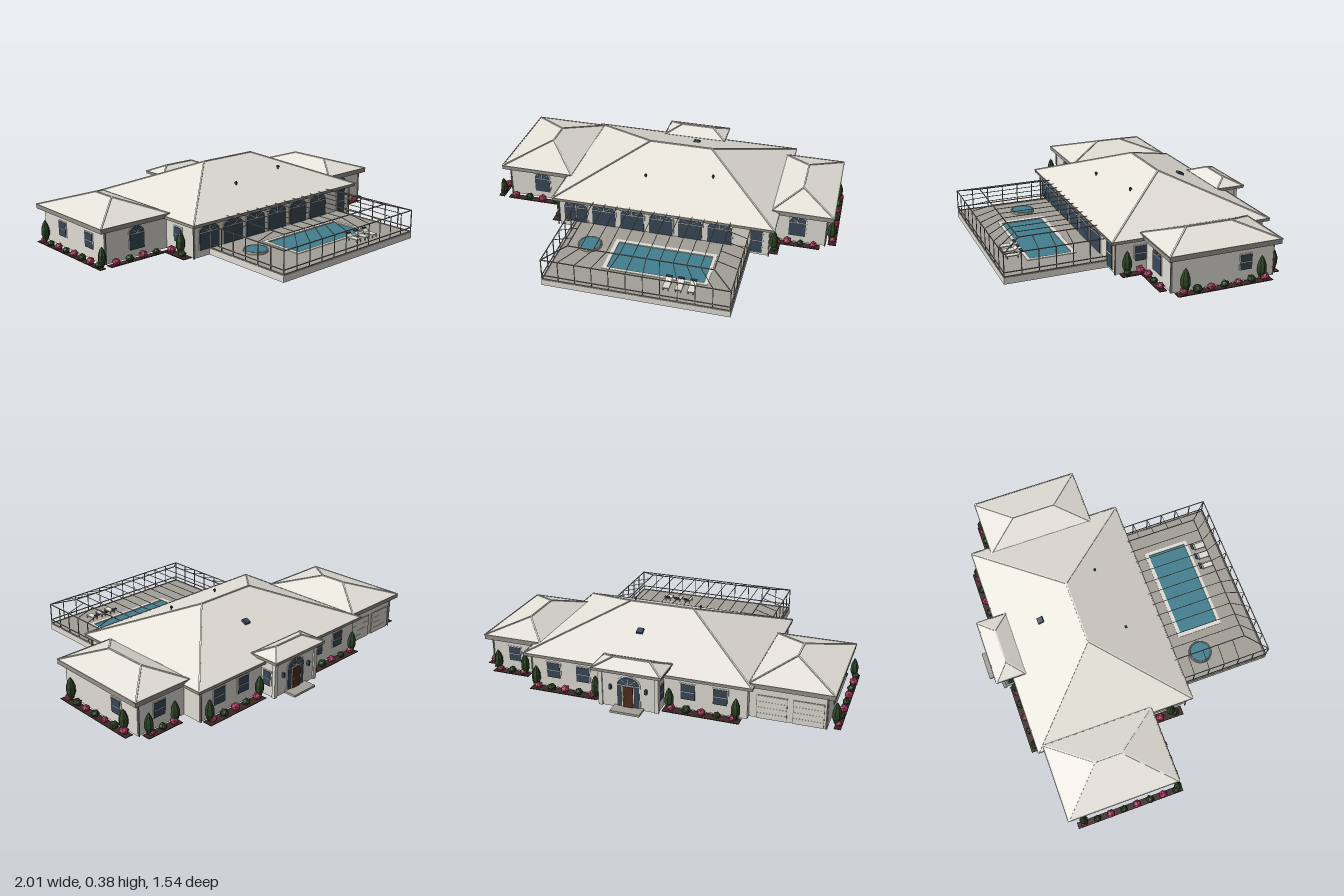
import * as THREE from 'three';

const mat = (name, color, side = THREE.FrontSide) => {
  const m = new THREE.MeshStandardMaterial({ color, side });
  m.name = name;
  return m;
};

export function createModel() {
  const M = {
    wall: mat('cream stucco', 0xdfddd4, THREE.DoubleSide),
    roof: mat('pale roof', 0xe5e3da),
    trim: mat('grey trim', 0x96938c),
    glass: mat('blue glass', 0x384857),
    leaf: mat('dark leaves', 0x2d4526),
    flower: mat('pink blossom', 0xb03c60),
    mulch: mat('brown mulch', 0x3c2825),
    deck: mat('grey paving', 0xa3a098),
    water: mat('pool water', 0x437f90),
    wood: mat('door wood', 0x4f2d1e),
  };
  const model = new THREE.Group();
  const add = (name, geo, m, parent = model) => {
    const mesh = new THREE.Mesh(geo, m);
    mesh.name = name;
    parent.add(mesh);
    return mesh;
  };
  const group = (name, parent = model) => {
    const g = new THREE.Group();
    g.name = name;
    parent.add(g);
    return g;
  };
  // Box given by its limits on each axis
  const box = (name, m, x0, x1, y0, y1, z0, z1, parent) => {
    const g = new THREE.BoxGeometry(x1 - x0, y1 - y0, z1 - z0);
    g.translate((x0 + x1) / 2, (y0 + y1) / 2, (z0 + z1) / 2);
    return add(name, g, m, parent);
  };
  // Square bar between two points
  const up = new THREE.Vector3(0, 1, 0);
  const bar = (name, m, a, b, t, parent) => {
    const A = new THREE.Vector3(...a), B = new THREE.Vector3(...b);
    const mesh = add(name, new THREE.BoxGeometry(t, t, A.distanceTo(B)), m, parent);
    mesh.quaternion.setFromRotationMatrix(new THREE.Matrix4().lookAt(B, A, up));
    mesh.position.copy(A).add(B).multiplyScalar(0.5);
    return mesh;
  };
  const faceted = (geo) => {
    const g = geo.index ? geo.toNonIndexed() : geo;
    g.computeVertexNormals();
    return g;
  };

  // Walls: a box without floor or lid
  const walls = (name, x0, x1, h, z0, z1) => {
    const g = box(name, M.wall, x0, x1, 0, h, z0, z1).geometry;
    const i = Array.from(g.index.array);
    g.clearGroups();
    g.setIndex([...i.slice(0, 12), ...i.slice(24)]);
  };
  walls('mainWalls', -0.54, 0.65, 0.176, -0.615, 0.22);
  walls('rightWingWalls', -0.935, -0.54, 0.18, -0.58, -0.015);
  walls('leftWingWalls', 0.65, 0.945, 0.18, -0.505, 0.05);
  walls('entryWalls', -0.1, 0.215, 0.206, -0.705, -0.615);

  // Hip roof: eave slab, four slopes and caps; p and q are the ridge ends [x, z]
  const hipRoof = (name, x0, x1, z0, z1, eave, peak, p, q, depth = 0.014) => {
    const g = group(name);
    const slab = [M.trim, M.trim, M.roof, M.roof, M.trim, M.trim];
    box('eave', slab, x0, x1, eave - depth, eave, z0, z1, g);
    const a = [x0, eave, z0], b = [x1, eave, z0], c = [x1, eave, z1], d = [x0, eave, z1];
    const P = [p[0], peak, p[1]], Q = [q[0], peak, q[1]];
    const alongX = p[1] === q[1];
    const tris = alongX
      ? [d, c, Q, d, Q, P, b, a, P, b, P, Q, a, d, P, c, b, Q]
      : [a, d, Q, a, Q, P, c, b, P, c, P, Q, b, a, P, d, c, Q];
    const geo = new THREE.BufferGeometry();
    geo.setAttribute('position', new THREE.Float32BufferAttribute(tris.flat(), 3));
    geo.computeVertexNormals();
    add('slopes', geo, M.roof, g);
    const hips = alongX ? [[a, P], [d, P], [b, Q], [c, Q]] : [[a, P], [b, P], [c, Q], [d, Q]];
    [...hips, [P, Q]].forEach(([s, e]) => bar('ridgeCap', M.roof, s, e, 0.008, g));
    [[a, b], [b, c], [c, d], [d, a]].forEach(([s, e]) => bar('gutter', M.trim, s, e, 0.006, g));
  };
  hipRoof('mainRoof', -0.57, 0.68, -0.645, 0.25, 0.187, 0.373, [-0.12, -0.2], [0.24, -0.2]);
  hipRoof('rightWingRoof', -0.97, -0.54, -0.61, 0.015, 0.199, 0.274, [-0.735, -0.38], [-0.735, -0.23], 0.022);
  hipRoof('leftWingRoof', 0.635, 0.975, -0.535, 0.08, 0.202, 0.262, [0.785, -0.35], [0.785, -0.1], 0.025);
  hipRoof('entryRoof', -0.13, 0.245, -0.74, -0.57, 0.218, 0.256, [-0.04, -0.655], [0.155, -0.655]);

  // Roof vents
  const hatch = box('roofHatch', M.glass, -0.017, 0.017, -0.006, 0.008, -0.017, 0.017);
  hatch.position.set(0.11, 0.294, -0.4);
  hatch.rotation.x = -0.39;
  [[-0.085, 0.035, 0.27], [0.29, -0.015, 0.292]].forEach(([x, z, y]) => {
    box('ventPipe', M.glass, x - 0.003, x + 0.003, y, y + 0.026, z - 0.003, z + 0.003);
    box('ventCap', M.glass, x - 0.006, x + 0.006, y + 0.014, y + 0.022, z - 0.006, z + 0.006);
  });

  // Window or glazed door; rise > 0 gives an arched top
  const opening = (w, h, rise) => {
    const s = new THREE.Shape();
    s.moveTo(-w / 2, 0);
    s.lineTo(w / 2, 0);
    s.lineTo(w / 2, h - rise);
    if (rise) s.absellipse(0, h - rise, w / 2, rise, 0, Math.PI, false);
    else s.lineTo(-w / 2, h);
    s.lineTo(-w / 2, rise ? h - rise : 0);
    return s;
  };
  const plate = (shape, depth) =>
    new THREE.ExtrudeGeometry(shape, { depth, bevelEnabled: false, curveSegments: 14 });
  const windowAt = (name, x, y, z, turn, w, h, rise = 0) => {
    const g = group(name);
    g.position.set(x, y, z);
    g.rotation.y = turn;
    add('frame', plate(opening(w + 0.012, h + 0.006, rise), 0.003), M.wall, g).position.z = 0.001;
    add('pane', plate(opening(w, h, rise), 0.003), M.glass, g).position.z = 0.003;
    const top = rise ? h - rise : h / 2;
    box('transom', M.wall, -w / 2, w / 2, top - 0.0015, top + 0.0015, 0.003, 0.008, g);
    // Fan of bars in the arch
    if (rise) [0.25, 0.5, 0.75].forEach((t) => bar('fanBar', M.wall, [0, top, 0.006],
      [Math.cos(t * Math.PI) * w / 2, top + Math.sin(t * Math.PI) * rise, 0.006], 0.002, g));
  };
  for (let i = 0; i < 6; i++)
    windowAt('patioDoor', -0.443 + i * 0.165, 0.037, 0.22, 0, 0.134, 0.134, 0.04);
  windowAt('sidePatioDoor', 0.582, 0.015, 0.22, 0, 0.066, 0.155);
  windowAt('rightWingWindow', -0.735, 0.042, -0.015, 0, 0.092, 0.126, 0.04);
  windowAt('leftWingWindow', 0.782, 0.042, 0.05, 0, 0.092, 0.126, 0.04);
  const R = Math.PI / 2;
  windowAt('sideWindow', 0.65, 0.059, 0.085, R, 0.062, 0.08);
  windowAt('sideWindow', -0.54, 0.059, 0.085, -R, 0.062, 0.08);
  windowAt('sideWindow', 0.945, 0.059, -0.352, R, 0.065, 0.08);
  [-0.402, -0.15].forEach((z) => windowAt('sideWindow', -0.935, 0.059, z, -R, 0.065, 0.08));
  [0.52, 0.35, -0.23, -0.4].forEach((x) => windowAt('backWindow', x, 0.057, -0.615, 2 * R, 0.075, 0.085));
  windowAt('backWindow', 0.81, 0.059, -0.505, 2 * R, 0.07, 0.08);
  windowAt('entrySideWindow', 0.215, 0.059, -0.655, R, 0.05, 0.08);
  windowAt('entrySideWindow', -0.1, 0.059, -0.655, -R, 0.05, 0.08);

  // Entry: arched glazing, wooden door, lamps and step
  windowAt('entryGlazing', 0.057, 0.012, -0.705, 2 * R, 0.12, 0.165, 0.045);
  box('doorFrame', M.wall, 0.024, 0.09, 0.012, 0.132, -0.714, -0.708);
  box('entryDoor', M.wood, 0.029, 0.085, 0.012, 0.128, -0.717, -0.709);
  box('doorHandle', M.trim, 0.076, 0.08, 0.06, 0.075, -0.72, -0.716);
  [-0.04, 0.154].forEach((x) => box('wallLamp', M.glass, x - 0.006, x + 0.006, 0.1, 0.125, -0.719, -0.704));
  [-0.095, 0.21].forEach((x) => box('pilaster', M.wall, x - 0.011, x + 0.011, 0, 0.204, -0.713, -0.695));
  box('entryStep', M.deck, -0.025, 0.135, 0, 0.012, -0.775, -0.705);

  // Garage doors with fine panel grooves
  [-0.84, -0.655].forEach((x) => {
    box('garageDoorFrame', M.trim, x - 0.078, x + 0.078, 0, 0.13, -0.584, -0.5805);
    for (let i = 0; i < 4; i++)
      box('garagePanel', M.wall, x - 0.076, x + 0.076, 0.001 + i * 0.032, 0.0322 + i * 0.032, -0.586, -0.583);
  });

  // Downspouts at the corners
  [[-0.93, -0.01], [-0.55, 0.224], [0.655, 0.224], [0.94, 0.055], [0.94, -0.51], [-0.93, -0.585], [0.645, -0.62]]
    .forEach(([x, z]) => box('downspout', M.trim, x - 0.003, x + 0.003, 0, 0.175, z - 0.003, z + 0.003));

  // Pool deck with an opening for the pool; its edge is pale
  const rect = (T, x0, x1, z0, z1) => {
    const s = new T();
    s.moveTo(x0, -z1); s.lineTo(x1, -z1); s.lineTo(x1, -z0); s.lineTo(x0, -z0); s.closePath();
    return s;
  };
  const flat = (name, shape, hole, y, depth, m) => {
    shape.holes.push(hole);
    const mesh = add(name, plate(shape, depth), m);
    mesh.rotation.x = -Math.PI / 2;
    mesh.position.y = y;
  };
  flat('poolDeck', rect(THREE.Shape, -0.443, 0.552, 0.221, 0.768), rect(THREE.Path, -0.15, 0.378, 0.353, 0.584), 0, 0.036, [M.deck, M.wall]);
  flat('poolCoping', rect(THREE.Shape, -0.17, 0.396, 0.333, 0.6), rect(THREE.Path, -0.148, 0.376, 0.355, 0.582), 0.034, 0.005, M.wall);
  box('poolWater', M.water, -0.15, 0.378, 0.001, 0.032, 0.353, 0.584);
  const round = (name, geo, m, y) => add(name, geo, m).position.set(-0.295, y, 0.418);
  round('spaRim', new THREE.CylinderGeometry(0.066, 0.066, 0.02, 28), M.deck, 0.037);
  round('spaEdge', new THREE.TorusGeometry(0.061, 0.004, 6, 28).rotateX(R), M.deck, 0.047);
  round('spaWater', new THREE.CylinderGeometry(0.057, 0.057, 0.004, 28), M.water, 0.047);

  // Sun loungers
  [0.2, 0.265, 0.33].forEach((x) => {
    const g = group('lounger');
    g.position.set(x, 0.036, 0.655);
    box('seat', M.wall, -0.018, 0.018, 0.014, 0.019, -0.025, 0.038, g);
    bar('backrest', M.wall, [0, 0.017, -0.022], [0, 0.034, -0.044], 0.005, g).scale.x = 7;
    box('headCushion', M.glass, -0.017, 0.017, 0.032, 0.038, -0.048, -0.036, g);
    [-0.014, 0.014].forEach((lx) => [-0.022, 0.034].forEach((lz) =>
      box('leg', M.trim, lx - 0.002, lx + 0.002, 0, 0.015, lz - 0.002, lz + 0.002, g)));
  });

  // Screen enclosure: posts, rails and a sloped roof edge
  const cage = group('poolEnclosure');
  const [cx0, cx1, cz0, cz1, low, high, inset] = [-0.44, 0.549, 0.225, 0.765, 0.16, 0.192, 0.108];
  const cb = (a, b, t = 0.0045) => bar('frameBar', M.trim, a, b, t, cage);
  [0.04, 0.062, low].forEach((y) => {
    cb([cx0, y, cz1], [cx1, y, cz1]);
    [cx0, cx1].forEach((x) => cb([x, y, cz0], [x, y, cz1]));
  });
  const [ix0, ix1, iz1] = [cx0 + inset, cx1 - inset, cz1 - inset];
  cb([ix0, high, iz1], [ix1, high, iz1]);
  [[cx0, ix0], [cx1, ix1]].forEach(([o, i]) => {
    cb([i, high, cz0], [i, high, iz1]);
    cb([o, low, cz1], [i, high, iz1]);
    for (let k = 0; k <= 6; k++) {
      const z = cz0 + ((cz1 - cz0) * k) / 6;
      cb([o, 0.036, z], [o, low, z]);
      if (z < iz1) cb([o, low, z], [i, high, z], 0.003);
    }
  });
  for (let k = 1; k < 11; k++) {
    const x = cx0 + ((cx1 - cx0) * k) / 11;
    cb([x, 0.036, cz1], [x, low, cz1], 0.0035);
    const t = ix0 + ((ix1 - ix0) * k) / 11;
    cb([x, low, cz1], [t, high, iz1], 0.003);
    cb([t, high, cz0], [t, high, iz1], 0.003);
  }

  // Planting beds with alternating shrubs
  let seed = 7;
  const rnd = () => (seed = (seed * 16807) % 2147483647) / 2147483647;
  const shrub = faceted(new THREE.IcosahedronGeometry(1, 0));
  [[-1, -0.965, -0.57, 0.04], [-0.935, -0.6, 0.005, 0.045], [-0.598, -0.545, 0.02, 0.2],
    [0.655, 0.7, 0.06, 0.2], [0.7, 0.915, 0.06, 0.1], [0.955, 1, -0.48, 0.04],
    [0.71, 0.925, -0.562, -0.515], [-0.515, -0.11, -0.68, -0.625], [0.245, 0.635, -0.68, -0.625]]
    .forEach(([x0, x1, z0, z1]) => {
      const bed = group('plantingBed');
      box('mulch', M.mulch, x0, x1, 0, 0.004, z0, z1, bed);
      const long = x1 - x0 > z1 - z0, n = Math.round(Math.max(x1 - x0, z1 - z0) / 0.08);
      for (let i = 0; i < n; i++) {
        const t = (i + 0.5) / n, r = 0.019 + rnd() * 0.007;
        const s = add('shrub', shrub, i % 2 ? M.leaf : M.flower, bed);
        s.scale.set(r, r * 0.9, r);
        s.rotation.y = rnd() * 6;
        s.position.set(long ? x0 + (x1 - x0) * t : (x0 + x1) / 2, r * 0.75, long ? (z0 + z1) / 2 : z0 + (z1 - z0) * t);
      }
    });

  // Columnar evergreens
  const tree = faceted(new THREE.LatheGeometry(
    [[0.005, 0], [0.013, 0.012], [0.025, 0.045], [0.024, 0.08], [0.013, 0.112], [0, 0.132]]
      .map(([x, y]) => new THREE.Vector2(x, y)), 7));
  [[-0.97, 0.015, 0.85], [-0.97, -0.53, 0.95], [-0.562, 0.13, 1], [0.672, 0.165, 0.96], [0.968, -0.01, 1], [0.968, -0.43, 0.96],
    [0.9, -0.535, 0.93], [0.735, -0.535, 0.93], [0.61, -0.645, 0.95], [0.265, -0.65, 0.95], [-0.14, -0.65, 0.95], [-0.49, -0.65, 0.95]]
    .forEach(([x, z, s]) => {
      const t = add('evergreen', tree, M.leaf);
      t.position.set(x, 0.003, z);
      t.scale.setScalar(s);
      t.rotation.y = x * 9;
    });
  return model;
}
